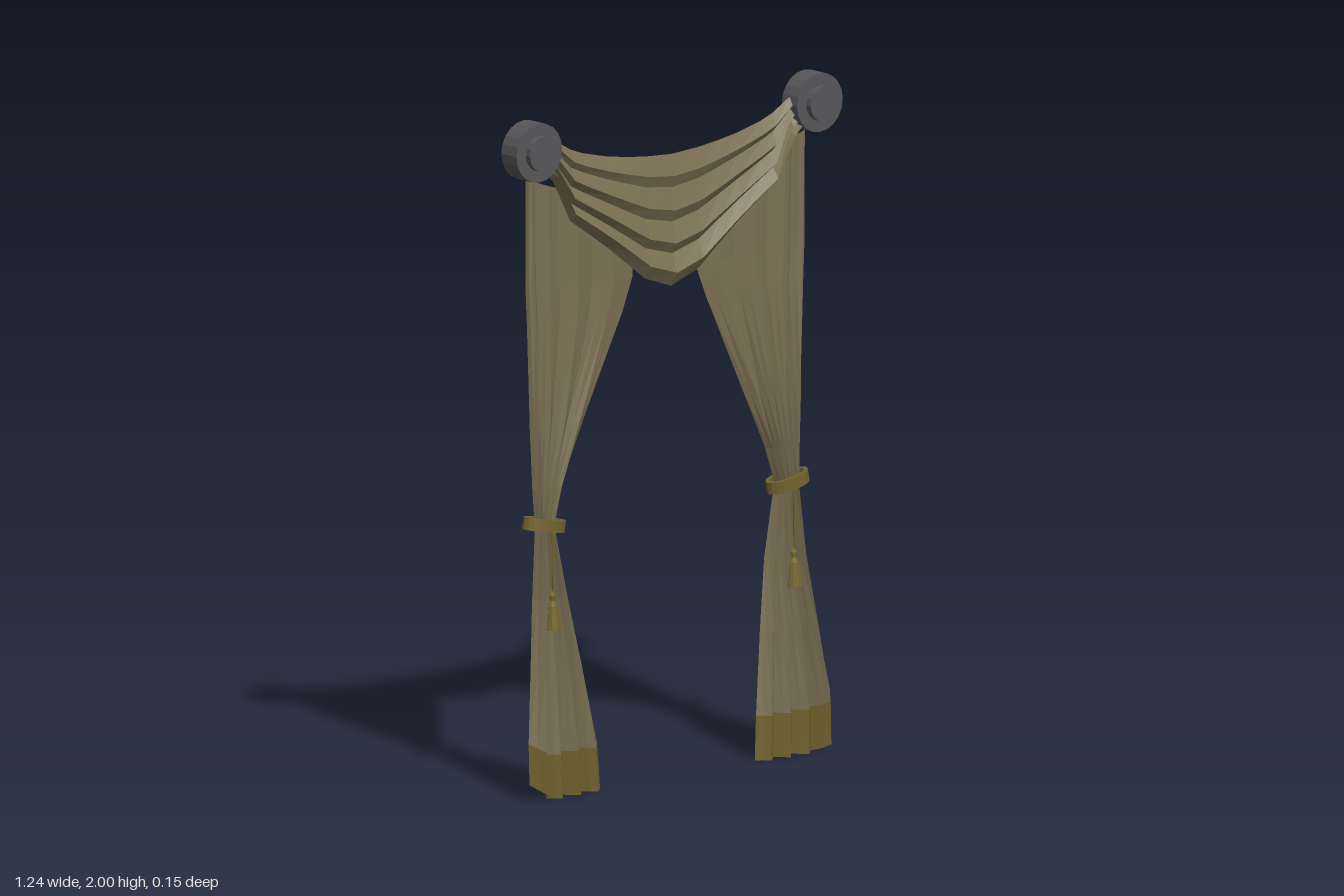
import * as THREE from 'three';

const mat = (name, color, side = THREE.DoubleSide) => {
  const m = new THREE.MeshStandardMaterial({ color, side, flatShading: true });
  m.name = name;
  return m;
};

// Sheet through a grid of points: rows of equal length, each point [x, y, z]
function sheet(name, rows, material) {
  const n = rows[0].length, index = [];
  for (let r = 0; r < rows.length - 1; r++) {
    for (let c = 0; c < n - 1; c++) {
      const a = r * n + c, b = a + n;
      index.push(a, b, a + 1, a + 1, b, b + 1);
    }
  }
  const g = new THREE.BufferGeometry();
  g.setAttribute('position', new THREE.Float32BufferAttribute(rows.flat(2), 3));
  g.setIndex(index);
  g.computeVertexNormals();
  const mesh = new THREE.Mesh(g, material);
  mesh.name = name;
  return mesh;
}

// Panel sections: outer y, inner y, outer x, inner x, z, fold depth, gathering to the outer edge
const SECTIONS = [
  [1.84, 1.72, 0.53, 0.115, -0.042, 0.012, 1.7],
  [1.50, 1.48, 0.53, 0.12, -0.042, 0.012, 1.6],
  [1.38, 1.38, 0.525, 0.16, -0.041, 0.012, 1.5],
  [1.08, 1.08, 0.515, 0.305, -0.04, 0.013, 1.2],
  [0.90, 0.90, 0.505, 0.39, -0.04, 0.014, 1],
  [0.79, 0.79, 0.495, 0.425, -0.04, 0.015, 1],
  [0.58, 0.58, 0.515, 0.38, -0.028, 0.019, 1],
  [0.37, 0.37, 0.545, 0.34, 0.0, 0.02, 1],
  [0.17, 0.13, 0.575, 0.303, 0.027, 0.021, 1],
  [0.05, 0.0, 0.575, 0.295, 0.031, 0.021, 1],
];
// Fold heights from the outer edge to the inner edge
const FOLDS = [-0.3, 0.6, 1.7, 0.5, -0.8, 0.2, 0.9, 0, -1, 0, 0.9, 0, -1, 0, 0.7, -0.2, -0.9];

function panelRows(s) {
  return SECTIONS.map(([yo, yi, xo, xi, z, amp, p], r) => FOLDS.map((f, c) => {
    const u = c / (FOLDS.length - 1);
    // the lower edge and the hem line rise only near the outer side
    const v = r < 8 ? u : Math.min(1, u * 4.5);
    const upper = r < 3 ? Math.min(f, 1) * (1 - 0.5 * u) : f;
    return [s * (xo + (xi - xo) * u ** p), yo + (yi - yo) * v, z + amp * upper];
  }));
}

export function createModel() {
  const model = new THREE.Group();
  model.name = 'drapedCurtains';
  const cloth = mat('cloth', 0x7b7054);
  const gold = mat('goldTrim', 0x74632f);
  const metal = mat('darkMetal', 0x575759, THREE.FrontSide);

  const add = (parent, name, geometry, material, x = 0, y = 0, z = 0) => {
    const mesh = new THREE.Mesh(geometry, material);
    mesh.name = name;
    mesh.position.set(x, y, z);
    parent.add(mesh);
    return mesh;
  };

  // Swag hanging between the two holders, with stepped folds
  const columns = [ // x, top y, bottom y
    [0.5, 1.96, 1.86], [0.45, 1.935, 1.81], [0.385, 1.897, 1.685], [0.34, 1.88, 1.655],
    [0.25, 1.858, 1.592], [0.18, 1.846, 1.538], [0.10, 1.836, 1.475], [0, 1.83, 1.44],
  ];
  const full = [...columns.map(([x, t, b]) => [-x, t, b]),
    ...columns.slice(0, -1).reverse()];
  const steps = [[0, -0.016], [0.16, 0.002], [0.25, -0.012], [0.42, 0.006],
    [0.51, -0.012], [0.67, 0.008], [0.75, -0.012], [0.89, 0.012], [1, -0.016]];
  model.add(sheet('swag', steps.map(([k, z]) =>
    full.map(([x, t, b]) => [x, t + (b - t) * k, z])), cloth));

  // Elliptical band for the tiebacks
  const ring = new THREE.Shape().absellipse(0, 0, 0.075, 0.041, 0, Math.PI * 2);
  ring.holes.push(new THREE.Path().absellipse(0, 0, 0.062, 0.03, 0, Math.PI * 2));
  const band = new THREE.ExtrudeGeometry(ring, { depth: 0.036, bevelEnabled: false, curveSegments: 10 });
  band.translate(0, 0, -0.018).rotateX(Math.PI / 2);

  const disc = (r, d, sides) => new THREE.CylinderGeometry(r, r, d, sides).rotateX(Math.PI / 2);
  const tasselProfile = [[0, 0.115], [0.008, 0.115], [0.014, 0.1], [0.009, 0.085],
    [0.016, 0.07], [0.027, 0], [0, 0]].map(([x, y]) => new THREE.Vector2(x, y));

  for (const s of [1, -1]) {
    const side = new THREE.Group();
    side.name = s > 0 ? 'leftCurtain' : 'rightCurtain';
    model.add(side);

    // Gathered cloth and its gold hem
    const rows = panelRows(s);
    side.add(sheet('panel', rows.slice(0, 9), cloth));
    side.add(sheet('hem', rows.slice(8), gold));

    // Tieback, cord and tassel
    add(side, 'tieback', band, gold, s * 0.464, 0.795, -0.04).rotation.z = s * 0.18;
    const cord = new THREE.LineCurve3(new THREE.Vector3(s * 0.46, 0.78, -0.005),
      new THREE.Vector3(s * 0.46, 0.6, -0.003));
    add(side, 'cord', new THREE.TubeGeometry(cord, 1, 0.004, 6), gold);
    const tassel = add(side, 'tassel', new THREE.LatheGeometry(tasselProfile, 8), gold, s * 0.46, 0.49, 0.003);
    tassel.scale.z = 0.6;
    tassel.rotation.x = -0.1;

    // Round holder with a raised front boss
    add(side, 'holder', disc(0.087, 0.068, 20), metal, s * 0.535, 1.913, -0.012);
    add(side, 'holderBoss', disc(0.052, 0.022, 16), metal, s * 0.535, 1.913, 0.03);
  }
  return model;
}
